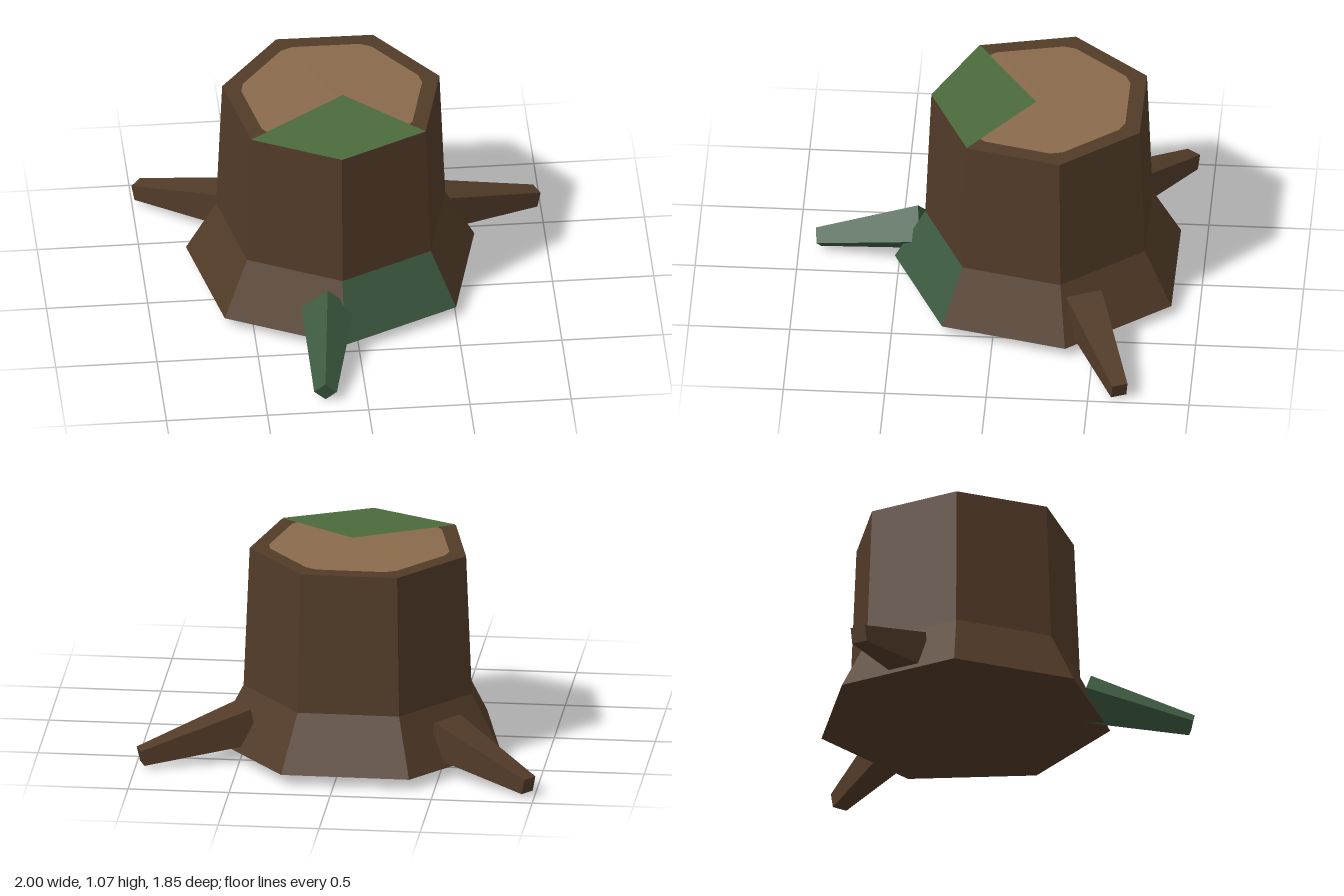
import * as THREE from 'three';

const SIDES = 7, STEP = (Math.PI * 2) / SIDES, START = -0.01;
const CX = -0.066, CZ = -0.21; // trunk axis

export function createModel() {
  const group = new THREE.Group();
  const mat = (name, color, side = THREE.FrontSide) => {
    const m = new THREE.MeshStandardMaterial({ color, flatShading: true, side });
    m.name = name;
    return m;
  };
  const bark = mat('bark', 0x523b28);
  const wood = mat('cut wood', 0x8a6a4c);
  const moss = mat('moss', 0x4b6b3c, THREE.DoubleSide);
  const darkMoss = mat('dark moss', 0x3c5a40);

  const add = (name, geometry, material) => {
    const mesh = new THREE.Mesh(geometry, material);
    mesh.name = name;
    group.add(mesh);
    return mesh;
  };

  // Open band of the seven-sided trunk, covering some of its sides
  const band = (y0, y1, r0, r1, first, count) =>
    new THREE.CylinderGeometry(r1, r0, y1 - y0, count, 1, true, START + first * STEP, count * STEP)
      .translate(CX, (y0 + y1) / 2, CZ);

  // Shallow fan rising from a rim to an apex
  const fan = (apex, angles, r, y) => {
    const p = angles.map(a => [CX + r * Math.sin(a), y, CZ + r * Math.cos(a)]);
    const v = [];
    for (let i = 0; i + 1 < p.length; i++) v.push(...apex, ...p[i], ...p[i + 1]);
    const g = new THREE.BufferGeometry();
    g.setAttribute('position', new THREE.Float32BufferAttribute(v, 3));
    g.computeVertexNormals();
    return g;
  };

  // Trunk, flared foot and mossy foot panel
  add('trunk', band(0.34, 1.05, 0.58, 0.55, 0, SIDES), bark);
  add('flaredFoot', band(0.06, 0.34, 0.73, 0.58, 1, SIDES - 1), bark);
  add('mossyFootPanel', band(0.06, 0.34, 0.73, 0.58, 0, 1), darkMoss);

  // Underside and bark rim
  const corners = Array.from({ length: SIDES + 1 }, (_, i) => START + i * STEP);
  add('underside', fan([CX, 0.06, CZ], [...corners].reverse(), 0.73, 0.06), bark);
  add('barkRim', fan([CX, 1.051, CZ], corners, 0.55, 1.05), bark);

  // Cut wood face with clipped corners
  const clipped = corners.flatMap(a => [a - 0.07, a + 0.07]);
  add('cutWoodFace', fan([CX, 1.062, CZ], clipped, 0.452, 1.053), wood);

  // Moss patch over the front of the cut
  add('mossPatch', fan([-0.02, 1.071, -0.18], [-1, 0, 1].map(i => START + i * STEP), 0.551, 1.052), moss);

  // Tapered four-sided roots
  const root = (name, from, to, twist, material) => {
    const a = new THREE.Vector3(...from), b = new THREE.Vector3(...to);
    const dir = b.clone().sub(a), length = dir.length();
    dir.normalize();
    const side = new THREE.Vector3(0, 1, 0).cross(dir).normalize();
    const up = new THREE.Vector3().crossVectors(side, dir);
    const g = new THREE.CylinderGeometry(0.056, 0.13, length, 4).rotateY(twist);
    g.applyMatrix4(new THREE.Matrix4().makeBasis(side, dir, up));
    const mid = a.add(b).multiplyScalar(0.5);
    add(name, g.translate(mid.x, mid.y, mid.z), material);
  };
  root('frontRoot', [-0.145, 0.19, 0.38], [-0.205, 0.06, 0.905], 0, darkMoss);
  root('leftRoot', [0.46, 0.19, -0.44], [0.975, 0.06, -0.655], Math.PI / 4, bark);
  root('rightRoot', [-0.515, 0.19, -0.55], [-0.97, 0.06, -0.89], Math.PI / 4, bark);

  return group;
}
